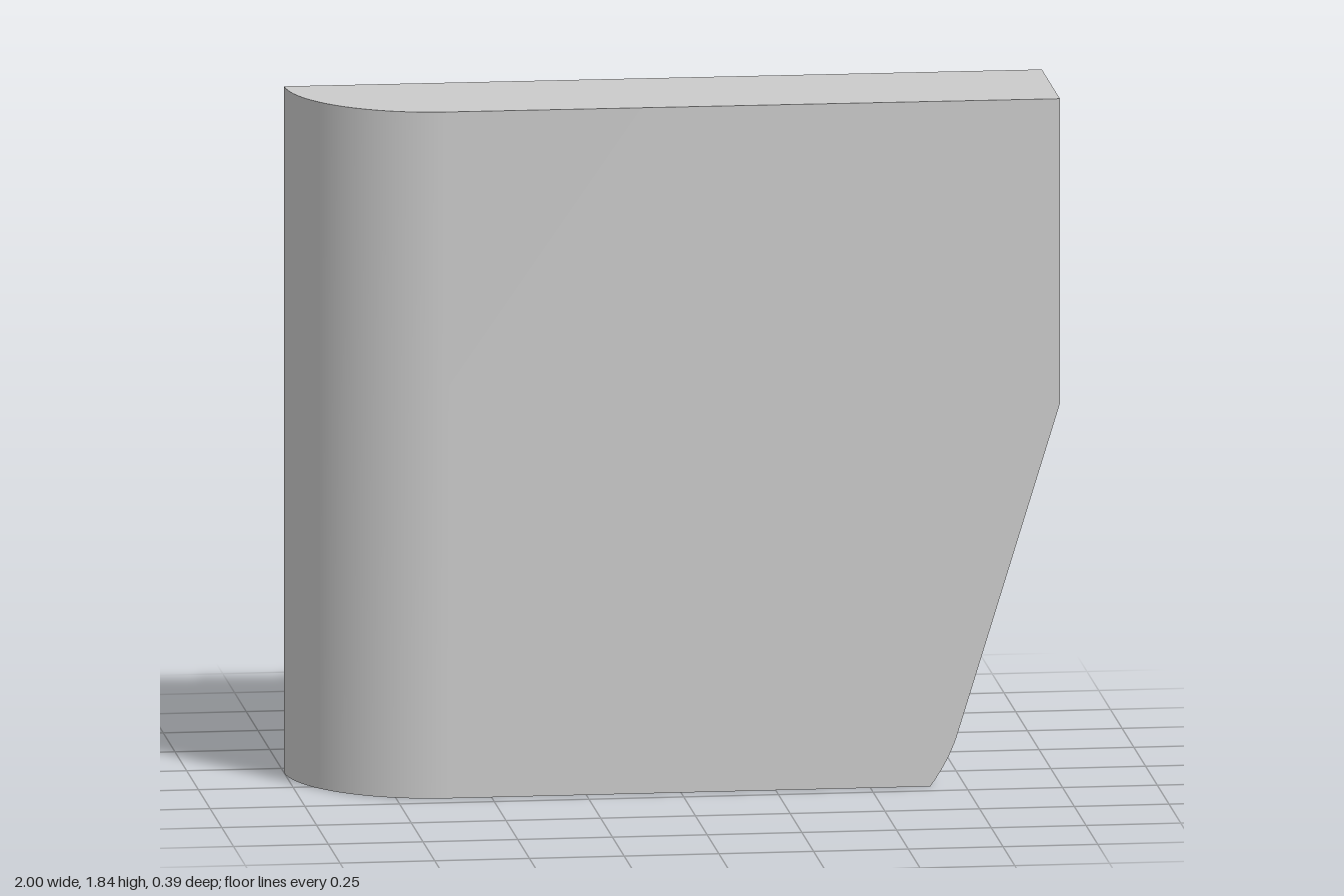
import * as THREE from 'three';
import { toCreasedNormals } from 'three/addons/utils/BufferGeometryUtils.js';

const HALF = 0.193;       // half thickness
const R = 2 * HALF;       // radius of the rounded vertical edge

export function createModel() {
  const group = new THREE.Group();
  group.name = 'panel';

  // Front outline with the tapered, curved lower corner
  const outline = new THREE.Shape();
  outline.moveTo(-1, 0);
  outline.lineTo(0.658, 0);
  outline.quadraticCurveTo(0.705, 0.065, 0.727, 0.13);
  outline.lineTo(1, 1.015);
  outline.lineTo(1, 1.83);
  outline.lineTo(-1, 1.835);
  outline.closePath();

  const solid = new THREE.ExtrudeGeometry(outline, {
    depth: 1, steps: 32, curveSegments: 8, bevelEnabled: false,
  });

  // Bend the left edge into a quarter round from back to front
  const pos = solid.attributes.position;
  for (let i = 0; i < pos.count; i++) {
    const a = pos.getZ(i) * Math.PI / 2;
    if (pos.getX(i) < -0.99) pos.setX(i, -1 + R * (1 - Math.cos(a)));
    pos.setZ(i, -HALF + R * Math.sin(a));
  }

  const slab = new THREE.Mesh(
    toCreasedNormals(solid, 0.2),
    new THREE.MeshStandardMaterial({ color: 0xcccccc }),
  );
  slab.name = 'roundedSlab';
  group.add(slab);
  return group;
}
